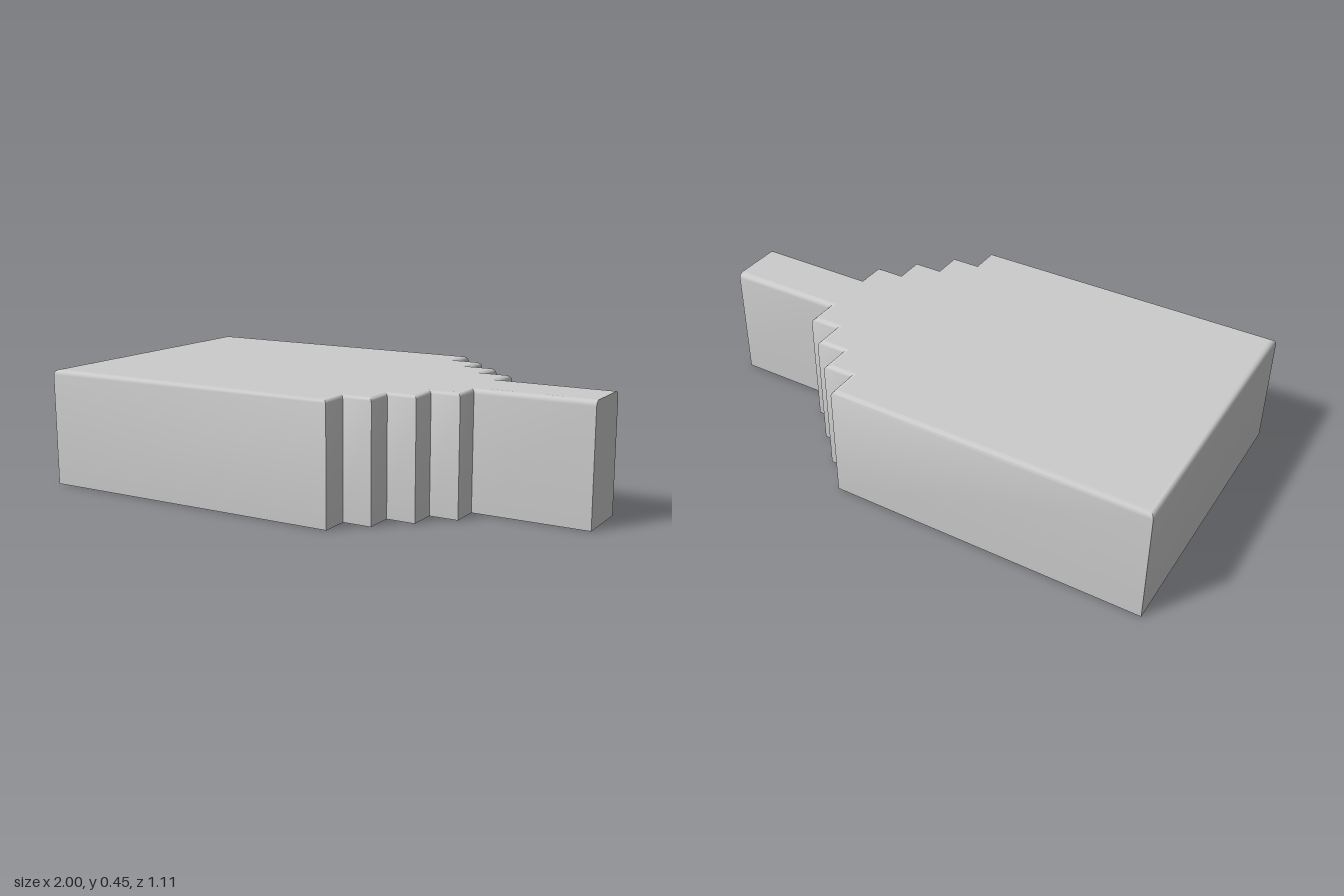
import * as THREE from 'three';
import { toCreasedNormals } from 'three/addons/utils/BufferGeometryUtils.js';

const U = 1 / 9;            // grid step of the stepped plan
const HEIGHT = 0.45;
const CEILING = HEIGHT - U; // underside of the roof

// Mirror the half plan (y > 0) to get a closed counter-clockwise outline.
function mirrored(half) {
  const other = half.map(([x, y]) => [x, -y]).reverse();
  return [...half, ...other].map(([x, y]) => new THREE.Vector2(x, y));
}

// Outer plan: tail, four steps, wide body; d moves the walls inwards.
function outerPlan(d = 0) {
  const half = [[1, U - d]];
  for (let i = 0; i < 4; i++) {
    const x = (5 - i) * U - d;
    half.push([x, (1 + i) * U - d], [x, (2 + i) * U - d]);
  }
  half.push([-1 + d, 5 * U - d]);
  return mirrored(half);
}

// Hollow plan: leaves walls one step thick that nearly pinch at the inner corners.
function hollowPlan() {
  const e = 0.003, half = [];
  for (let i = 0; i < 4; i++) {
    const y = (1 + i) * U - e;
    half.push([(5 - i) * U - e, y]);
    if (i < 3) half.push([(4 - i) * U - e, y]);
  }
  half.push([-8 * U, 4 * U - e]);
  return mirrored(half);
}

// Skin between stacked outlines, each { y, plan }.
function skin(rings, inward = false) {
  const pos = [];
  for (let r = 0; r < rings.length - 1; r++) {
    const lo = rings[r], hi = rings[r + 1], n = lo.plan.length;
    for (let i = 0; i < n; i++) {
      const j = (i + 1) % n;
      const at = (ring, k) => [ring.plan[k].x, ring.y, -ring.plan[k].y];
      const q = [at(lo, i), at(lo, j), at(hi, j), at(hi, i)];
      if (inward) q.reverse();
      for (const k of [0, 1, 2, 0, 2, 3]) pos.push(...q[k]);
    }
  }
  const g = new THREE.BufferGeometry();
  g.setAttribute('position', new THREE.Float32BufferAttribute(pos, 3));
  return toCreasedNormals(g, 0.7);
}

// Flat horizontal face, looking up or down.
function plate(plan, y, up, hole) {
  const shape = new THREE.Shape(plan);
  if (hole) shape.holes.push(new THREE.Path(hole));
  return new THREE.ShapeGeometry(shape).rotateX(up ? -Math.PI / 2 : Math.PI / 2).translate(0, y, 0);
}

export function createModel() {
  const group = new THREE.Group();
  group.name = 'steppedHollowBlock';
  const material = new THREE.MeshStandardMaterial({ color: 0xcccccc });
  const add = (name, geometry) => {
    const mesh = new THREE.Mesh(geometry, material);
    mesh.name = name;
    group.add(mesh);
  };

  // Outer walls with a softly rounded top edge
  const b = 0.02;
  const rings = [{ y: 0, plan: outerPlan() }];
  for (let i = 0; i <= 4; i++) {
    const a = (i / 4) * Math.PI / 2;
    rings.push({ y: HEIGHT - b + b * Math.sin(a), plan: outerPlan(b * (1 - Math.cos(a))) });
  }
  add('outerWalls', skin(rings));
  add('topFace', plate(outerPlan(b), HEIGHT, true));

  // Hollow underside
  const hollow = hollowPlan();
  add('bottomRim', plate(outerPlan(), 0, false, hollow));
  add('hollowWalls', skin([{ y: 0, plan: hollow }, { y: CEILING, plan: hollow }], true));
  add('hollowCeiling', plate(hollow, CEILING, false));
  return group;
}
